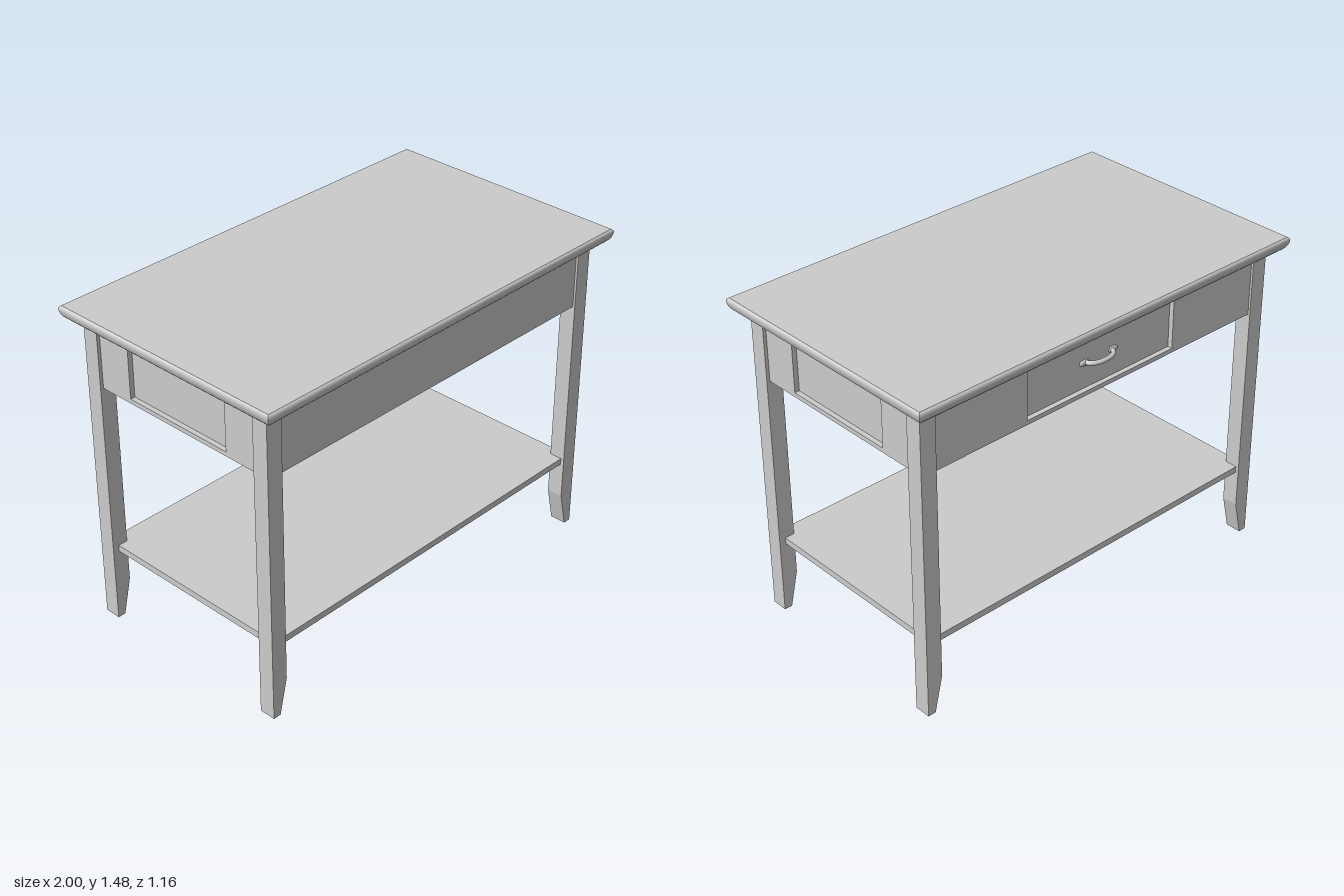
import * as THREE from 'three';

const mat = new THREE.MeshStandardMaterial({ color: 0xcccccc });

function add(parent, name, geometry) {
  const mesh = new THREE.Mesh(geometry, mat);
  mesh.name = name;
  parent.add(mesh);
  return mesh;
}

// Box given by its minimum and maximum corners
function box(parent, name, [x0, y0, z0], [x1, y1, z1]) {
  const g = new THREE.BoxGeometry(x1 - x0, y1 - y0, z1 - z0);
  g.translate((x0 + x1) / 2, (y0 + y1) / 2, (z0 + z1) / 2);
  return add(parent, name, g);
}

function polygon(points) {
  return new THREE.Shape(points.map(([x, y]) => new THREE.Vector2(x, y)));
}

function rect(w, y0, y1) {
  return [[-w, y0], [w, y0], [w, y1], [-w, y1]];
}

// Apron board with a rectangular opening; outer face at z = 0, facing +z
function openApron(halfWidth, halfOpening) {
  const shape = polygon(rect(halfWidth, 1.13, 1.41));
  shape.holes.push(polygon(rect(halfOpening, 1.15, 1.39)));
  const g = new THREE.ExtrudeGeometry(shape, { depth: 0.035, bevelEnabled: false });
  return g.translate(0, 0, -0.035);
}

// Moulded edge: the [inset, height] profile mitred around four sides
function tableTop(hx, hz, profile) {
  const corners = [[-1, 1], [1, 1], [1, -1], [-1, -1]];
  const pos = [], index = [];
  for (let s = 0; s < 4; s++) {
    const a = corners[s], b = corners[(s + 1) % 4], base = pos.length / 3;
    profile.forEach(([inset, y], i) => {
      for (const c of [a, b]) pos.push(c[0] * (hx - inset), y, c[1] * (hz - inset));
      if (i) {
        const k = base + 2 * i;
        index.push(k - 2, k - 1, k + 1, k - 2, k + 1, k);
      }
    });
  }
  // flat top and underside
  for (const [[inset, y], up] of [[profile[profile.length - 1], true], [profile[0], false]]) {
    const base = pos.length / 3;
    for (const c of corners) pos.push(c[0] * (hx - inset), y, c[1] * (hz - inset));
    const f = up ? [0, 1, 2, 0, 2, 3] : [0, 2, 1, 0, 3, 2];
    index.push(...f.map(i => base + i));
  }
  const g = new THREE.BufferGeometry();
  g.setAttribute('position', new THREE.Float32BufferAttribute(pos, 3));
  g.setIndex(index);
  g.computeVertexNormals();
  return g;
}

export function createModel() {
  const model = new THREE.Group();
  model.name = 'table';

  // Top
  add(model, 'tableTop', tableTop(1, 0.578, [
    [0.05, 1.408], [0.035, 1.411], [0.022, 1.417], [0.012, 1.427],
    [0.005, 1.439], [0.001, 1.452], [0, 1.463], [0.003, 1.47], [0.009, 1.475],
  ]));

  // Legs, tapered on the inner side at the foot
  for (const sx of [-1, 1]) for (const sz of [-1, 1]) {
    const pts = [[0.94, 0], [0.94, 1.41], [0.865, 1.41], [0.865, 0.165], [0.903, 0]];
    const g = new THREE.ExtrudeGeometry(polygon(pts.map(([x, y]) => [sx * x, y])),
      { depth: 0.074, bevelEnabled: false });
    g.translate(0, 0, sz > 0 ? 0.431 : -0.505);
    add(model, 'leg', g);
  }

  // Shelf
  box(model, 'shelf', [-0.91, 0.33, -0.49], [0.91, 0.36, 0.49]);

  // Aprons
  box(model, 'frontApron', [-0.88, 1.13, 0.46], [0.88, 1.41, 0.495]);
  const back = add(model, 'backApron', openApron(0.88, 0.4));
  back.rotation.y = Math.PI;
  back.position.z = -0.495;
  for (const s of [-1, 1]) {
    const side = new THREE.Group();
    side.name = 'sideApron';
    side.rotation.y = s * Math.PI / 2;
    side.position.x = s * 0.925;
    add(side, 'sideFrame', openApron(0.45, 0.268));
    box(side, 'sidePanel', [-0.268, 1.15, -0.055], [0.268, 1.39, -0.022]);
    model.add(side);
  }

  // Drawer, opening at the back
  const drawer = new THREE.Group();
  drawer.name = 'drawer';
  model.add(drawer);
  box(drawer, 'drawerFront', [-0.4, 1.15, -0.473], [0.4, 1.39, -0.44]);
  box(drawer, 'drawerBottom', [-0.4, 1.17, -0.44], [0.4, 1.185, 0.04]);
  box(drawer, 'drawerEnd', [-0.4, 1.185, 0.02], [0.4, 1.39, 0.04]);
  for (const s of [-1, 1]) {
    const x = s * 0.39;
    box(drawer, 'drawerSide', [x - 0.01, 1.185, -0.44], [x + 0.01, 1.39, 0.02]);
  }

  // Bowed handle with rounded end plates
  const curve = new THREE.CatmullRomCurve3([
    [-0.075, -0.472], [-0.062, -0.495], [-0.035, -0.509], [0, -0.513],
    [0.035, -0.509], [0.062, -0.495], [0.075, -0.472],
  ].map(([x, z]) => new THREE.Vector3(x, 1.267, z)));
  add(drawer, 'handle', new THREE.TubeGeometry(curve, 32, 0.01, 12));
  for (const s of [-1, 1]) {
    const plate = add(drawer, 'handlePlate', new THREE.SphereGeometry(1, 16, 10));
    plate.scale.set(0.025, 0.014, 0.008);
    plate.position.set(s * 0.08, 1.267, -0.474);
  }

  return model;
}
